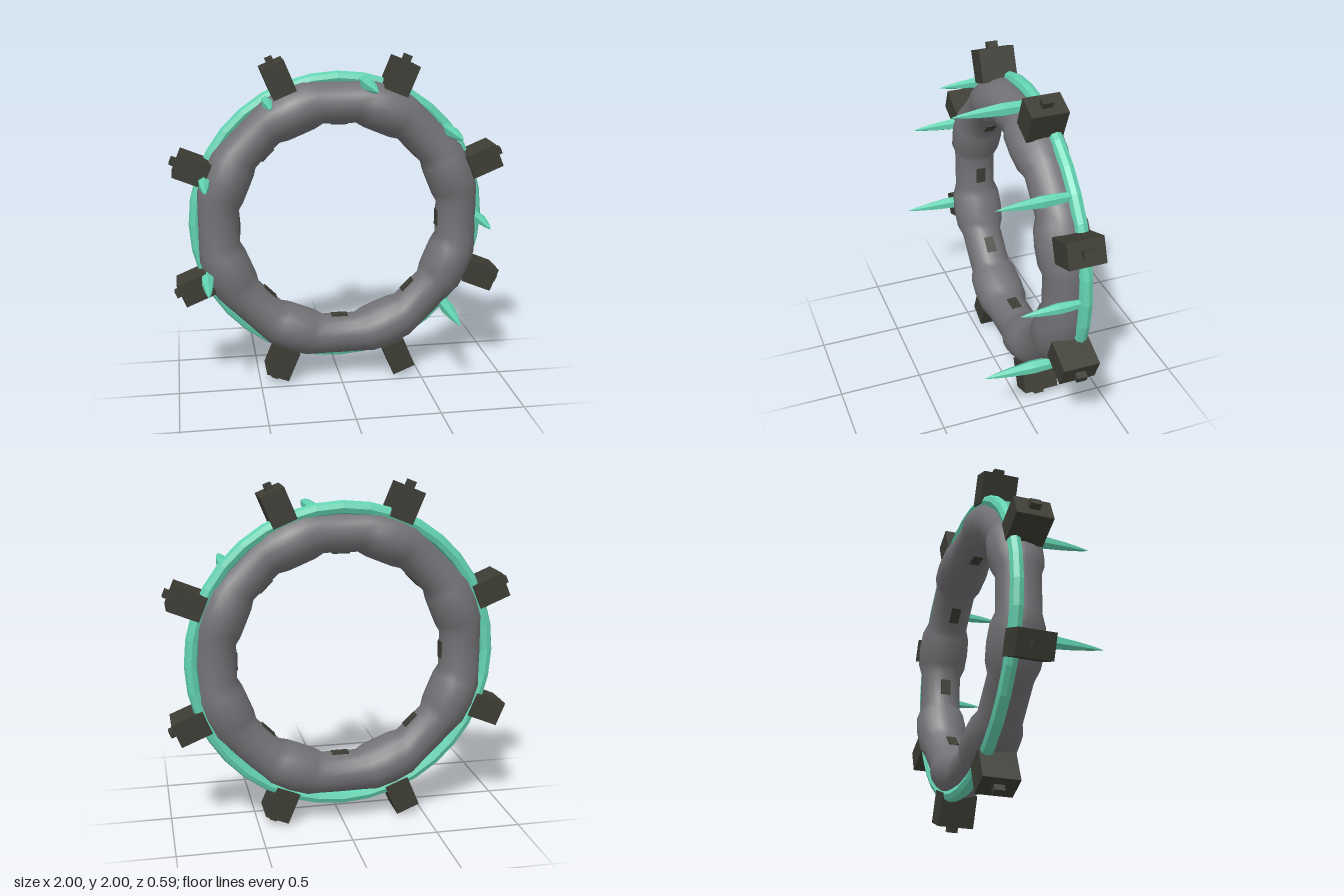
import * as THREE from 'three';

const CENTER_Y = 1, MID_Z = -0.14;
const RAD = Math.PI / 180;

// Closed ring whose tube swells at eight evenly spaced knuckles
function knuckledRing() {
  // angle offset from knuckle, centre radius, radial half-width, half-depth
  const stations = [
    [-13, 0.732, 0.124, 0.126],
    [-8, 0.73, 0.14, 0.15],
    [0, 0.727, 0.143, 0.157],
    [8, 0.73, 0.14, 0.15],
    [13, 0.732, 0.124, 0.126],
  ];
  const sides = 18, rings = 8 * stations.length;
  const pos = [], idx = [];
  for (let k = 0; k < 8; k++) {
    for (const [off, r, w, d] of stations) {
      const a = (22.5 + 45 * k + off) * RAD;
      for (let j = 0; j < sides; j++) {
        const p = j / sides * Math.PI * 2;
        const rr = r + w * Math.cos(p);
        pos.push(rr * Math.cos(a), rr * Math.sin(a), d * Math.sin(p));
      }
    }
  }
  for (let i = 0; i < rings; i++) {
    for (let j = 0; j < sides; j++) {
      const n = (i + 1) % rings, m = (j + 1) % sides;
      const a = i * sides + j, b = n * sides + j, c = n * sides + m, d = i * sides + m;
      idx.push(a, b, c, a, c, d);
    }
  }
  const g = new THREE.BufferGeometry();
  g.setAttribute('position', new THREE.Float32BufferAttribute(pos, 3));
  g.setIndex(idx);
  g.computeVertexNormals();
  return g;
}

export function createModel() {
  const model = new THREE.Group();
  model.name = 'spikedRing';
  const stone = new THREE.MeshStandardMaterial({ color: 0x727276 });
  stone.name = 'grey stone';
  const iron = new THREE.MeshStandardMaterial({ color: 0x3d3d35, flatShading: true });
  iron.name = 'dark iron';
  const jade = new THREE.MeshStandardMaterial({ color: 0x62d2b0, flatShading: true });
  jade.name = 'jade green';

  const add = (parent, name, geometry, material, x = 0, y = 0, z = 0) => {
    const mesh = new THREE.Mesh(geometry, material);
    mesh.name = name;
    mesh.position.set(x, y, z);
    parent.add(mesh);
    return mesh;
  };

  // Main body and the band around its rim
  add(model, 'ringBody', knuckledRing(), stone, 0, CENTER_Y, MID_Z);
  add(model, 'rimBand', new THREE.TorusGeometry(0.861, 0.039, 8, 36), jade, 0, CENTER_Y, -0.2);

  // Blocks with pegs on the knuckles, small inlays on the inside between them
  const block = new THREE.BoxGeometry(0.19, 0.144, 0.21);
  const peg = new THREE.BoxGeometry(0.08, 0.043, 0.06);
  const inlay = new THREE.BoxGeometry(0.02, 0.1, 0.06);
  for (let k = 0; k < 8; k++) {
    const clamp = new THREE.Group();
    clamp.name = 'clamp';
    clamp.position.set(0, CENTER_Y, MID_Z);
    clamp.rotation.z = (22.5 + 45 * k) * RAD;
    add(clamp, 'clampBlock', block, iron, 0.942);
    add(clamp, 'clampPeg', peg, iron, 1.034);
    model.add(clamp);

    const inner = new THREE.Group();
    inner.name = 'innerInlay';
    inner.position.set(0, CENTER_Y, MID_Z);
    inner.rotation.z = 45 * k * RAD;
    add(inner, 'inlayPlate', inlay, iron, 0.607);
    model.add(inner);
  }

  // Forward-pointing spikes: angle on the rim, tip depth, thickness
  const spikes = [
    [0, 0.175, 0.9], [40, 0.24, 1], [80, 0.3, 1.1], [120, 0.175, 0.9],
    [160, 0.24, 1], [200, 0.3, 1.1], [-40, 0.3, 1.1],
  ];
  const profile = [[0, 0], [0.026, 0.02], [0.034, 0.25], [0.036, 0.42], [0.025, 0.68], [0.012, 0.88], [0, 1]]
    .map(([r, y]) => new THREE.Vector2(r, y));
  const spike = new THREE.LatheGeometry(profile, 6);
  spike.rotateX(Math.PI / 2);
  for (const [deg, tip, thick] of spikes) {
    const a = deg * RAD;
    const m = add(model, 'spike', spike, jade, 0.855 * Math.cos(a), CENTER_Y + 0.855 * Math.sin(a), -0.2);
    m.scale.set(thick, thick, tip + 0.2);
  }
  return model;
}
